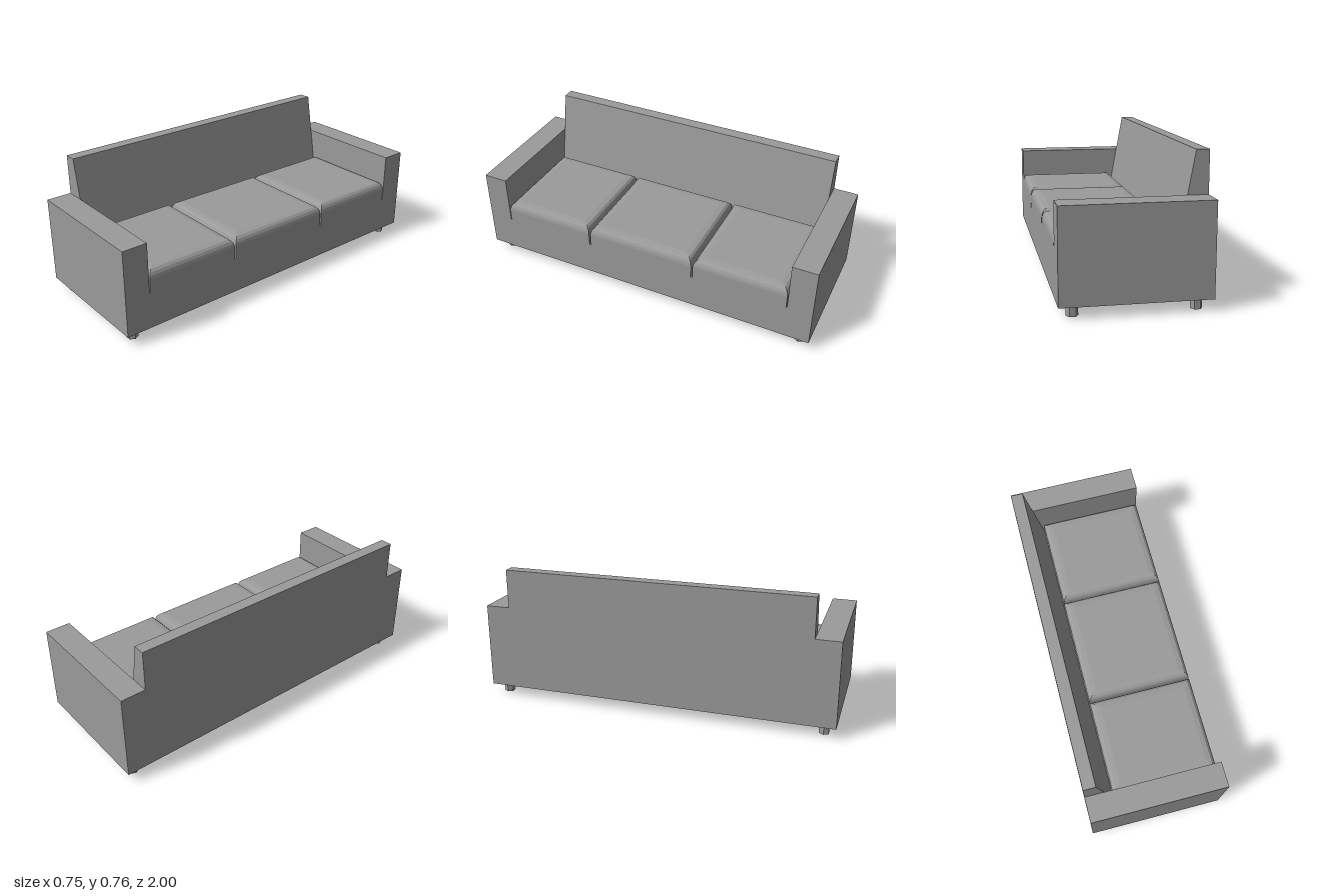
import * as THREE from 'three';

const FRONT = 0.375, BACK = -0.375, FLOOR = 0.06, DECK = 0.26, INNER = 0.862;

export function createModel() {
  const sofa = new THREE.Group();
  sofa.name = 'sofa';
  const grey = new THREE.MeshStandardMaterial({ color: 0x9b9b9b });
  grey.name = 'grey fabric';

  const add = (name, geometry, x = 0, y = 0, z = 0) => {
    const mesh = new THREE.Mesh(geometry, grey);
    mesh.name = name;
    mesh.position.set(x, y, z);
    sofa.add(mesh);
    return mesh;
  };

  // Base under the cushions
  add('base', new THREE.BoxGeometry(FRONT - BACK, DECK - FLOOR, INNER * 2), 0, (DECK + FLOOR) / 2, 0);

  // Arms at both ends
  for (const side of [1, -1]) {
    add(side > 0 ? 'rightArm' : 'leftArm',
      new THREE.BoxGeometry(FRONT - BACK, 0.54 - FLOOR, 1 - INNER), 0, (0.54 + FLOOR) / 2, side * (1 + INNER) / 2);
  }

  // Backrest with a sloping front
  const profile = new THREE.Shape([
    [BACK, DECK], [-0.219, DECK], [-0.308, 0.76], [BACK, 0.76],
  ].map(([x, y]) => new THREE.Vector2(x, y)));
  add('backrest', new THREE.ExtrudeGeometry(profile, { depth: INNER * 2, bevelEnabled: false }), 0, 0, -INNER);

  // Three seat cushions with rounded upper edges
  for (const [z0, z1] of [[-0.857, -0.323], [-0.313, 0.313], [0.323, 0.857]]) {
    add('seatCushion', cushionGeometry(-0.217, FRONT, z0, z1));
  }

  // Six-sided feet
  for (const x of [-0.302, 0.302]) {
    for (const z of [-0.932, 0.932]) {
      const geometry = new THREE.CylinderGeometry(0.03, 0.03, FLOOR, 6).toNonIndexed();
      geometry.rotateY(Math.PI / 2);
      geometry.computeVertexNormals();
      add('foot', geometry, x, FLOOR / 2, z);
    }
  }
  return sofa;
}

// Stacked rectangles, each inset a little further, closed by a flat top
function cushionGeometry(x0, x1, z0, z1) {
  const rings = [
    [0, DECK], [0, 0.335], [0.003, 0.352], [0.01, 0.367], [0.022, 0.378], [0.05, 0.383],
  ].map(([d, y]) => [
    [x0 + d, y, z1 - d], [x1 - d, y, z1 - d], [x1 - d, y, z0 + d], [x0 + d, y, z0 + d],
  ]);
  const points = [];
  const quad = (a, b, c, d) => points.push(...a, ...b, ...c, ...a, ...c, ...d);
  for (let i = 0; i < rings.length - 1; i++) {
    for (let j = 0; j < 4; j++) {
      const k = (j + 1) % 4;
      quad(rings[i][j], rings[i][k], rings[i + 1][k], rings[i + 1][j]);
    }
  }
  quad(...rings[rings.length - 1]);
  const geometry = new THREE.BufferGeometry();
  geometry.setAttribute('position', new THREE.Float32BufferAttribute(points, 3));
  geometry.computeVertexNormals();
  return geometry;
}
